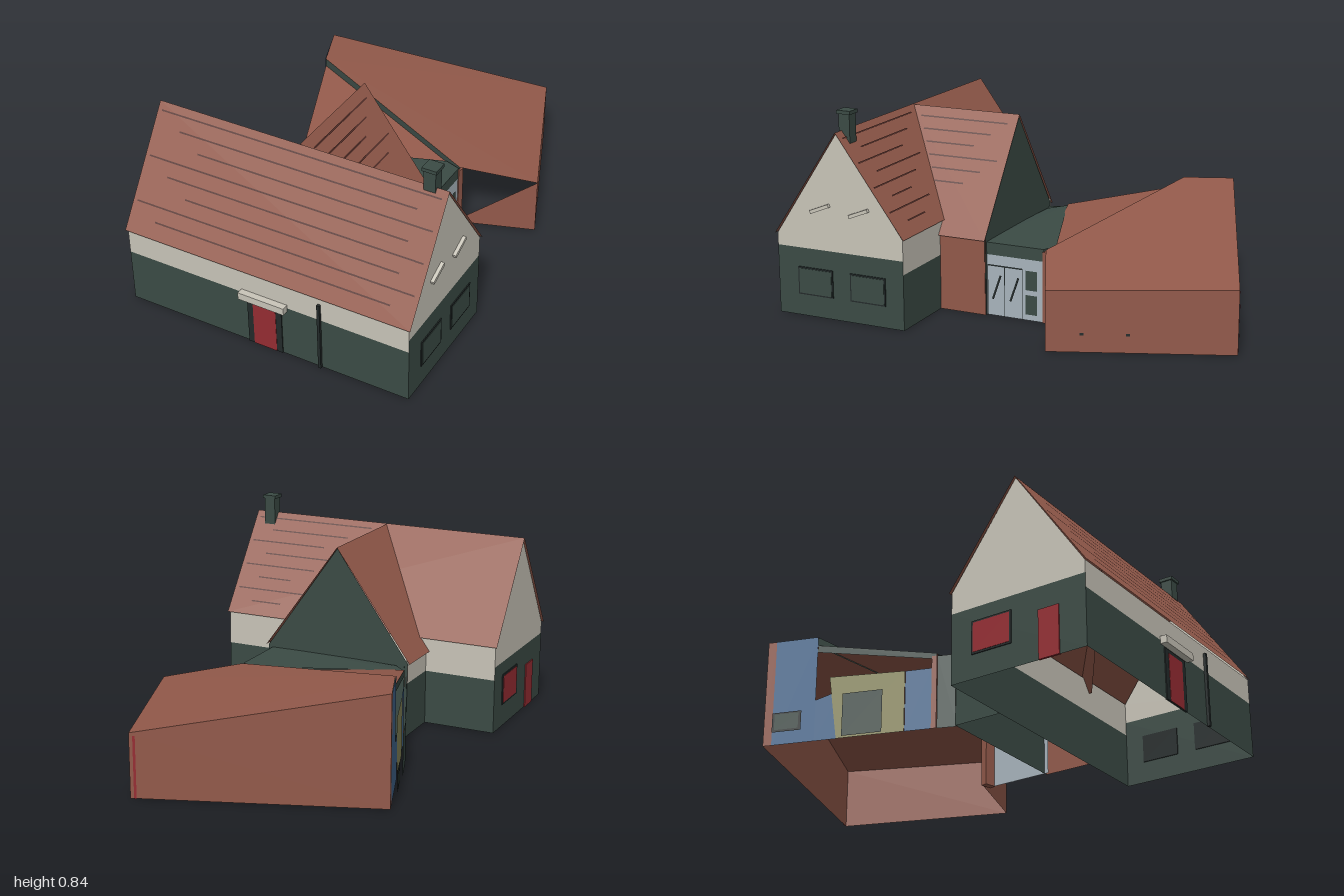
import * as THREE from 'three';

const mat = (name, color) => {
  const m = new THREE.MeshStandardMaterial({ color, side: THREE.DoubleSide, flatShading: true });
  m.name = name;
  return m;
};

export function createModel() {
  const brick = mat('brick', 0x92594a), green = mat('dark green', 0x3b4b45), cream = mat('cream', 0xc9c5b9);
  const blue = mat('blue', 0x446a92), olive = mat('olive', 0x8d8b5c), red = mat('red', 0x962c32);
  const glass = mat('pale blue', 0xa9b5bd), dark = mat('charcoal', 0x232a2a), tile = mat('tile shadow', 0x55302a);

  const model = new THREE.Group();

  // flat convex panel from its corners
  function panel(parent, name, m, pts) {
    const tri = [];
    for (let i = 1; i < pts.length - 1; i++) tri.push(...pts[0], ...pts[i], ...pts[i + 1]);
    const g = new THREE.BufferGeometry();
    g.setAttribute('position', new THREE.Float32BufferAttribute(tri, 3));
    g.computeVertexNormals();
    const mesh = new THREE.Mesh(g, m);
    mesh.name = name;
    parent.add(mesh);
    return mesh;
  }
  // upright piece of the line a-b (each [x, z]) between fractions t0..t1 and heights; off moves it outwards
  function wall(parent, name, m, a, b, y0, y1, t0 = 0, t1 = 1, y2 = y1, off = 0) {
    const dx = b[0] - a[0], dz = b[1] - a[1], l = Math.hypot(dx, dz);
    const at = (t, y) => [a[0] + dx * t - dz / l * off, y, a[1] + dz * t + dx / l * off];
    return panel(parent, name, m, [at(t0, y0), at(t1, y0), at(t1, y2), at(t0, y1)]);
  }
  function box(parent, name, m, size, pos) {
    const b = new THREE.Mesh(new THREE.BoxGeometry(...size), m);
    b.name = name;
    b.position.set(...pos);
    parent.add(b);
    return b;
  }

  // ---------- main house and cross wing, built square and then turned ----------
  const house = new THREE.Group();
  house.name = 'house';
  house.position.set(-0.583, 0, 0.066);
  house.rotation.y = 0.215;
  model.add(house);

  const W = 0.283, L = 0.612, top = 0.76, eaveL = 0.33, eaveR = 0.365;
  for (const s of [-1, 1]) {
    const end = s > 0 ? 'front' : 'back', z = s * L;
    wall(house, end + 'LowerWall', green, [-W, z], [W, z], 0, 0.28);
    panel(house, end + 'Gable', cream, [[-W, 0.28, z], [W, 0.28, z], [W, eaveR, z], [0, top - 0.005, z], [-W, eaveL, z]]);
    const side = s > 0 ? 'right' : 'left', eave = s > 0 ? eaveR : eaveL;
    wall(house, side + 'LowerWall', green, [s * W, -L], [s * W, L], 0, 0.225);
    wall(house, side + 'UpperWall', cream, [s * W, -L], [s * W, L], 0.225, eave);
    panel(house, side + 'Roof', brick, [[0, top, -0.62], [0, top, 0.62], [s * 0.29, eave, 0.62], [s * 0.29, eave, -0.62]]);
    // shadow lines between tile courses
    for (let i = 0; i < 8; i++) {
      const k = 0.06 + i * 0.115, h = 0.012;
      const z0 = s > 0 ? 0.325 * k + 0.04 + (i % 3) * 0.06 : -0.6 + (i % 3) * 0.1;
      const z1 = 0.6 - (i % 2) * 0.08;
      const at = (q, zz) => [s * (0.29 * q + 0.003), top + (eave - top) * q + 0.002, zz];
      panel(house, 'tileCourse', tile, [at(k, z0), at(k, z1), at(k + h, z1), at(k + h, z0)]);
    }
  }

  // front windows and gable lamps
  for (const x of [-0.112, 0.125]) {
    box(house, 'windowFrame', dark, [0.158, 0.114, 0.008], [x, 0.145, L]);
    box(house, 'windowPane', green, [0.146, 0.102, 0.008], [x, 0.145, L + 0.002]);
  }
  for (const x of [-0.08, 0.095]) {
    const lamp = box(house, 'gableLamp', cream, [0.09, 0.014, 0.016], [x, 0.45, L + 0.006]);
    lamp.rotation.z = 0.38;
  }
  // back window and door
  box(house, 'backWindowFrame', dark, [0.17, 0.13, 0.008], [0.108, 0.16, -L]);
  box(house, 'backWindow', red, [0.155, 0.115, 0.009], [0.108, 0.16, -L - 0.001]);
  box(house, 'backDoor', red, [0.085, 0.19, 0.009], [-0.132, 0.095, -L]);
  // side door with canopy and downpipe
  box(house, 'sideDoorFrame', dark, [0.008, 0.205, 0.15], [-W, 0.102, 0.0]);
  box(house, 'sideDoor', red, [0.009, 0.19, 0.1], [-W - 0.001, 0.095, 0.0]);
  box(house, 'sideCanopy', cream, [0.03, 0.03, 0.2], [-W - 0.012, 0.225, 0.0]);
  box(house, 'downpipe', dark, [0.012, 0.3, 0.012], [-W - 0.005, 0.15, 0.24]);

  // chimney
  box(house, 'chimney', green, [0.048, 0.16, 0.048], [0.012, 0.755, 0.545]);
  box(house, 'chimneyCap', green, [0.06, 0.014, 0.06], [0.012, 0.832, 0.545]);

  // cross wing
  const E = 0.488, H = 0.325, low = 0.31;
  for (const s of [-1, 1]) {
    panel(house, 'wingRoof', brick, [[0, 0.757, 0], [E, 0.757, 0], [E, low, s * H], [0.27, low, s * H]]);
    for (let i = 0; i < (s > 0 ? 6 : 0); i++) {
      const k = 0.08 + i * 0.1;
      const at = (q, x) => [x, 0.757 + (low - 0.757) * q + 0.002, s * (H * q + 0.003)];
      const x0 = 0.29 * k + 0.03, x1 = E - 0.04 - (i % 3) * 0.06;
      panel(house, 'tileCourse', tile, [at(k, x0), at(k, x1), at(k + 0.012, x1), at(k + 0.012, x0)]);
    }
  }
  panel(house, 'wingGable', green, [[0.483, 0, 0.31], [0.483, low, 0.315], [0.483, 0.752, 0], [0.483, low, -0.315], [0.483, 0, -0.31]]);
  wall(house, 'wingFrontWall', brick, [W, 0.31], [0.485, 0.31], 0, 0.33);
  wall(house, 'wingBackLowerWall', green, [W, -0.31], [0.485, -0.31], 0, 0.225);
  wall(house, 'wingBackUpperWall', cream, [W, -0.31], [0.485, -0.31], 0.225, 0.33);

  // ---------- glazed entrance ----------
  const entry = new THREE.Group();
  entry.name = 'entrance';
  model.add(entry);
  const e0 = [-0.065, 0.255], e1 = [0.195, 0.2];
  panel(entry, 'entranceRoof', green, [[-0.11, 0.305, -0.375], [0.205, 0.3, 0.13], [0.197, 0.3, 0.2], [-0.065, 0.3, 0.257], [-0.16, 0.3, -0.3]]);
  wall(entry, 'entranceFascia', green, e0, e1, 0.25, 0.3);
  wall(entry, 'entranceFront', glass, e0, e1, 0, 0.25);
  wall(entry, 'doorHeader', dark, e0, e1, 0.205, 0.211, 0.08, 0.66, 0.211, 0.004);
  for (const t of [0.08, 0.36, 0.65]) wall(entry, 'doorPost', dark, e0, e1, 0, 0.21, t, t + 0.014, 0.21, 0.004);
  for (const t of [0.16, 0.45]) {
    const x = (f) => [e0[0] + (e1[0] - e0[0]) * f, e0[1] + (e1[1] - e0[1]) * f + 0.005];
    const a = x(t), b = x(t + 0.13);
    panel(entry, 'doorHandle', dark, [[a[0], 0.07, a[1]], [a[0] + 0.01, 0.07, a[1]], [b[0] + 0.01, 0.17, b[1]], [b[0], 0.17, b[1]]]);
  }
  for (const y of [0.025, 0.125]) wall(entry, 'sideLight', green, e0, e1, y, y + 0.08, 0.71, 0.9, y + 0.08, 0.004);
  box(entry, 'entrancePillar', brick, [0.028, 0.29, 0.05], [0.207, 0.145, 0.18]);
  wall(entry, 'rearLink', green, [-0.175, -0.33], [-0.11, -0.375], 0, 0.3);

  // ---------- hall with folded roof ----------
  const hall = new THREE.Group();
  hall.name = 'hall';
  model.add(hall);
  const A = [0.305, -0.635], B = [0.48, -0.748], C = [0.992, 0.06], D = [0.395, 0.457], F = [0.205, 0.2], G = [-0.11, -0.378];
  const up = (p, y) => [p[0], y, p[1]];
  panel(hall, 'hallMainRoof', brick, [up(A, 0.44), up(B, 0.44), up(C, 0.255), up(D, 0.24), up(F, 0.3)]);
  panel(hall, 'hallLowRoof', brick, [up(A, 0.405), up(F, 0.275), up(G, 0.31)]);
  wall(hall, 'roofStep', green, A, F, 0.4, 0.44, 0, 1, 0.3).geometry.attributes.position.setY(1, 0.27);
  panel(hall, 'roofStepLower', green, [up(A, 0.44), up(F, 0.3), up(F, 0.27), up(A, 0.4)]);
  panel(hall, 'lowRoofFascia', green, [up(A, 0.405), up(G, 0.31), up(G, 0.285), up(A, 0.375)]);
  wall(hall, 'hallEastWall', brick, B, C, 0, 0.44, 0, 1, 0.255);
  wall(hall, 'hallFrontWall', brick, D, C, 0, 0.24, 0, 1, 0.255);
  panel(hall, 'hallSideWall', brick, [up(D, 0), up(D, 0.24), [0.22, 0, 0.163]]);
  wall(hall, 'cornerSlot', red, B, C, 0, 0.245, 0.975, 0.985, 0.245, -0.003);
  for (const t of [0.18, 0.42]) wall(hall, 'wallBracket', dark, D, C, 0.068, 0.078, t, t + 0.02, 0.078, 0.004);

  // rear wall: blue and olive sections under an open strip
  wall(hall, 'rearCorner', brick, B, G, 0, 0.44, 0, 0.05);
  wall(hall, 'rearBlueWall', blue, B, G, 0, 0.44, 0.05, 0.3);
  wall(hall, 'rearLowWall', blue, B, G, 0, 0.17, 0.3, 0.44, 0.2);
  const r = (t, y) => [B[0] + (G[0] - B[0]) * t, y, B[1] + (G[1] - B[1]) * t - 0.002];
  panel(hall, 'rearOliveWall', olive, [r(0.43, 0), r(0.82, 0), r(0.82, 0.25), r(0.38, 0.26)]);
  wall(hall, 'rearEndWall', blue, B, G, 0, 0.25, 0.82, 0.97);
  wall(hall, 'rearEndPost', brick, B, G, 0, 0.3, 0.97, 1);
  wall(hall, 'rearDoor', green, B, G, 0, 0.175, 0.47, 0.7, 0.175, 0.006);
  wall(hall, 'rearWindowFrame', dark, B, G, 0.045, 0.125, 0.06, 0.23, 0.125, 0.004);
  wall(hall, 'rearWindow', green, B, G, 0.053, 0.117, 0.075, 0.215, 0.117, 0.007);

  // rear details must face outwards, away from the hall
  for (const m of hall.children) {
    if (['rearDoor', 'rearWindowFrame', 'rearWindow'].includes(m.name)) m.position.set(-0.008, 0, -0.013);
  }
  return model;
}
